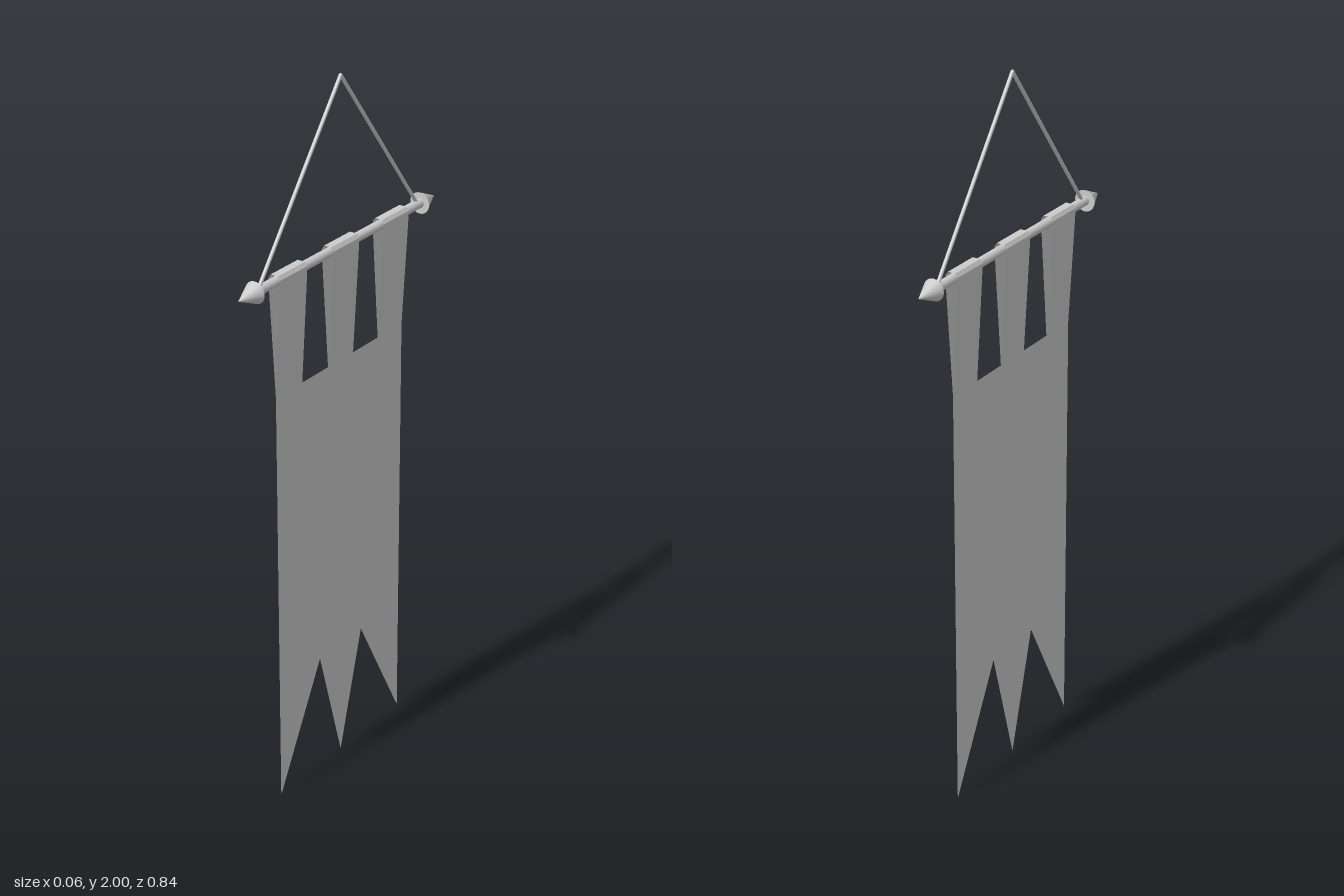
import * as THREE from 'three';

const ROD_Y = 1.54;
const HALF = 0.275; // half the cloth width
const TAB = 0.11; // tab width
const SPLIT = 1.22; // height where the tabs begin

export function createModel() {
  const group = new THREE.Group();
  const metal = new THREE.MeshStandardMaterial({ color: 0xcccccc });
  const fabric = new THREE.MeshStandardMaterial({ color: 0xcccccc, side: THREE.DoubleSide, flatShading: true });

  const add = (name, geometry, material) => {
    const mesh = new THREE.Mesh(geometry, material);
    mesh.name = name;
    group.add(mesh);
    return mesh;
  };

  // Horizontal rod along z
  const rod = add('rod', new THREE.CylinderGeometry(0.013, 0.013, 0.71, 16), metal);
  rod.rotation.x = Math.PI / 2;
  rod.position.y = ROD_Y;

  // Pointed finials and the two halves of the hanging cord
  const apex = new THREE.Vector3(0, 1.995, 0);
  for (const s of [1, -1]) {
    const finial = add('finial', new THREE.ConeGeometry(0.03, 0.066, 24), metal);
    finial.rotation.x = s * Math.PI / 2;
    finial.position.set(0, ROD_Y, s * 0.385);

    const end = new THREE.Vector3(0, ROD_Y, s * 0.342);
    add('cord', new THREE.TubeGeometry(new THREE.LineCurve3(end, apex), 1, 0.005, 10), metal);
  }
  add('cordTop', new THREE.SphereGeometry(0.005, 10, 8), metal).position.copy(apex);

  // Flat cloth with a three-pointed lower edge
  const outline = [
    [-HALF, SPLIT], [-HALF, 0], [-0.095, 0.35], [0, 0], [0.095, 0.35], [HALF, 0], [HALF, SPLIT],
  ].map(([z, y]) => new THREE.Vector2(z, y));
  const cloth = add('cloth', new THREE.ShapeGeometry(new THREE.Shape(outline)), fabric);
  cloth.rotation.y = Math.PI / 2;

  // Tabs folded over the rod: one closed strip each
  const profile = [
    [0, SPLIT], [0.018, 1.53], [0.018, 1.548], [0.011, 1.558],
    [-0.011, 1.558], [-0.018, 1.548], [-0.018, 1.53], [0, SPLIT],
  ];
  for (const z of [-(HALF - TAB / 2), 0, HALF - TAB / 2]) {
    const strip = new THREE.PlaneGeometry(1, TAB, profile.length - 1, 1);
    const pos = strip.attributes.position;
    for (let i = 0; i < pos.count; i++) {
      const [x, y] = profile[i % profile.length];
      pos.setXYZ(i, x, y, z - pos.getY(i));
    }
    strip.computeVertexNormals();
    add('tab', strip, fabric);
  }

  return group;
}
